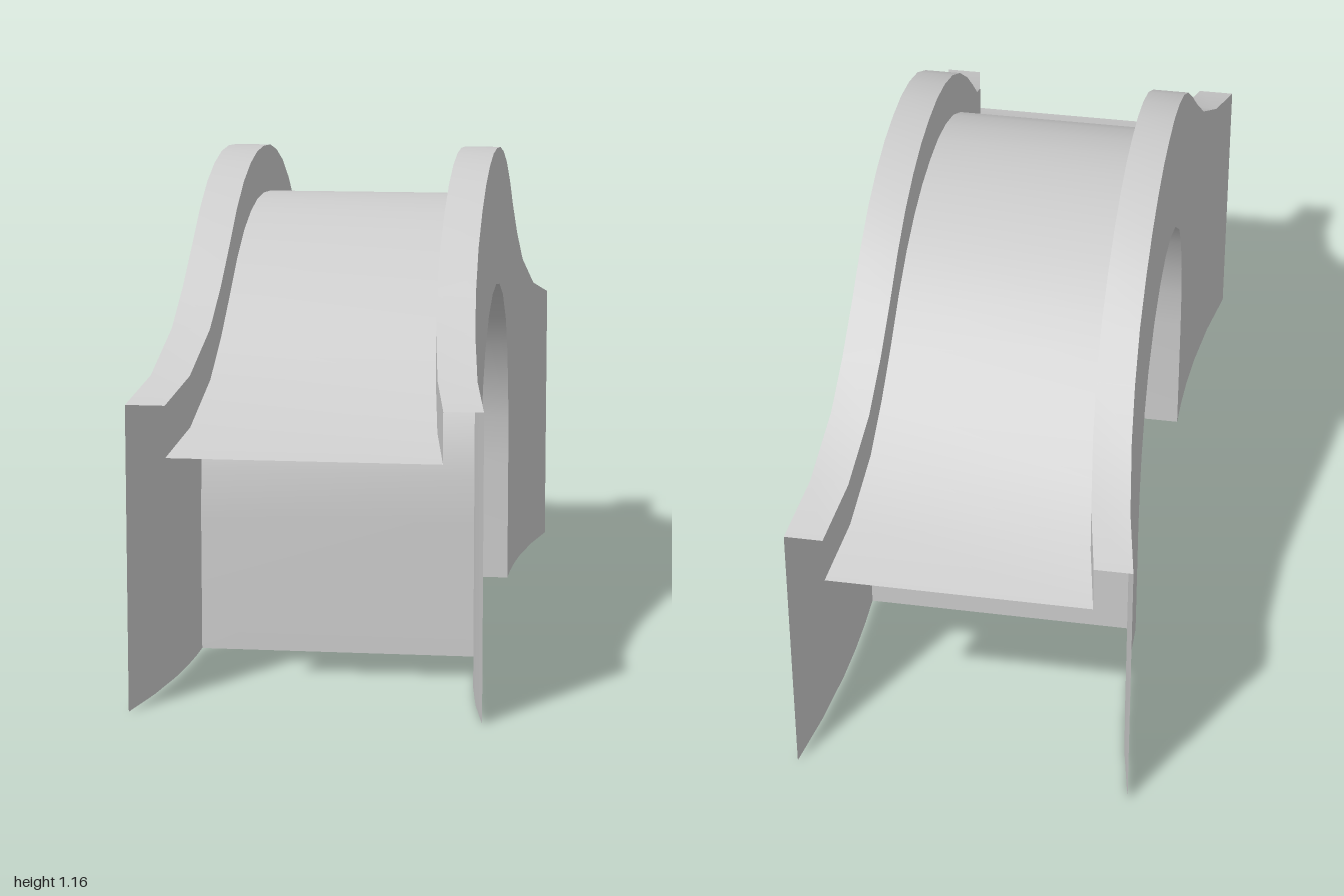
import * as THREE from 'three';

// Profiles as [distance from the middle, height], used symmetrically in z
const TOP = [[0, 1.165], [0.1, 1.16], [0.2, 1.14], [0.3, 1.105], [0.4, 1.051], [0.5, 0.978],
  [0.6, 0.893], [0.7, 0.81], [0.85, 0.727], [1, 0.685]];
const ARCH = [[0, 0.832], [0.1, 0.82], [0.203, 0.781], [0.3, 0.708], [0.353, 0.631],
  [0.396, 0.52], [0.412, 0.43], [0.42, 0.32], [0.42, 0]];
const ARCH_HALF = 0.42, PARAPET_WIDTH = 0.0875, PARAPET_HEIGHT = 0.115;

// Height of a profile at z, straight between its points
function heightAt(profile, z) {
  const d = Math.abs(z);
  for (let i = 1; i < profile.length; i++) {
    const [d0, y0] = profile[i - 1], [d1, y1] = profile[i];
    if (d <= d1) return d1 === d0 ? y0 : y0 + (y1 - y0) * (d - d0) / (d1 - d0);
  }
  return profile[profile.length - 1][1];
}

// The bridge flares outward towards both ends
const outerX = z => 0.331 + 0.059 * Math.max(0, (Math.abs(z) - 0.45) / 0.55) ** 2;
const innerX = z => outerX(z) - PARAPET_WIDTH;
const topY = z => heightAt(TOP, z);
const deckY = z => topY(z) - PARAPET_HEIGHT;

// Sorted unique z stations, mirrored about the middle
const mirrored = ds => [...new Set(ds.flatMap(d => [d === 0 ? 0 : -d, d]))].sort((a, b) => a - b);

// Surface between two rows of points
function ribbon(name, rowA, rowB, material) {
  const pos = [], index = [];
  rowA.forEach((a, i) => {
    pos.push(...a, ...rowB[i]);
    if (i) {
      const k = 2 * i;
      index.push(k - 2, k - 1, k, k - 1, k + 1, k);
    }
  });
  const geo = new THREE.BufferGeometry();
  geo.setAttribute('position', new THREE.Float32BufferAttribute(pos, 3));
  geo.setIndex(index);
  geo.computeVertexNormals();
  const mesh = new THREE.Mesh(geo, material);
  mesh.name = name;
  return mesh;
}

export function createModel() {
  const group = new THREE.Group();
  group.name = 'archBridge';
  const material = new THREE.MeshStandardMaterial({ color: 0xcccccc, side: THREE.DoubleSide });

  const zs = mirrored(TOP.map(p => p[0]));
  const crownZs = mirrored([...TOP, ...ARCH].map(p => p[0]).filter(d => d <= ARCH_HALF));
  const legZs = [ARCH_HALF, ...zs.filter(z => z > ARCH_HALF)];

  // Walkway over the hump
  group.add(ribbon('deck', zs.map(z => [innerX(z), deckY(z), z]),
    zs.map(z => [-innerX(z), deckY(z), z]), material));

  // Arched tunnel lining, down to the ground on both sides
  const curve = [...[...ARCH].reverse().map(([d, y]) => [-d, y]), ...ARCH.slice(1)];
  const w = outerX(0);
  group.add(ribbon('archLining', curve.map(([z, y]) => [-w, y, z]),
    curve.map(([z, y]) => [w, y, z]), material));

  for (const [side, s] of [['left', 1], ['right', -1]]) {
    // Swapping the rows keeps the mirrored surfaces facing outward
    const add = (name, stations, a, b) => {
      const rows = [a, b].map(f => stations.map(z => {
        const [x, y] = f(z);
        return [s * x, y, z];
      }));
      if (s < 0) rows.reverse();
      group.add(ribbon(side + name, rows[0], rows[1], material));
    };
    const outerTop = z => [outerX(z), topY(z)];
    const innerTop = z => [innerX(z), topY(z)];
    const ground = z => [outerX(z), 0];

    // Outer wall: above the arch and the two legs
    add('WallCrown', crownZs, z => [outerX(z), heightAt(ARCH, z)], outerTop);
    add('WallFrontLeg', legZs, ground, outerTop);
    add('WallBackLeg', legZs.map(z => -z).reverse(), ground, outerTop);

    // Parapet cap and inner face
    add('ParapetCap', zs, outerTop, innerTop);
    add('ParapetInside', zs, innerTop, z => [innerX(z), deckY(z)]);
  }
  return group;
}
